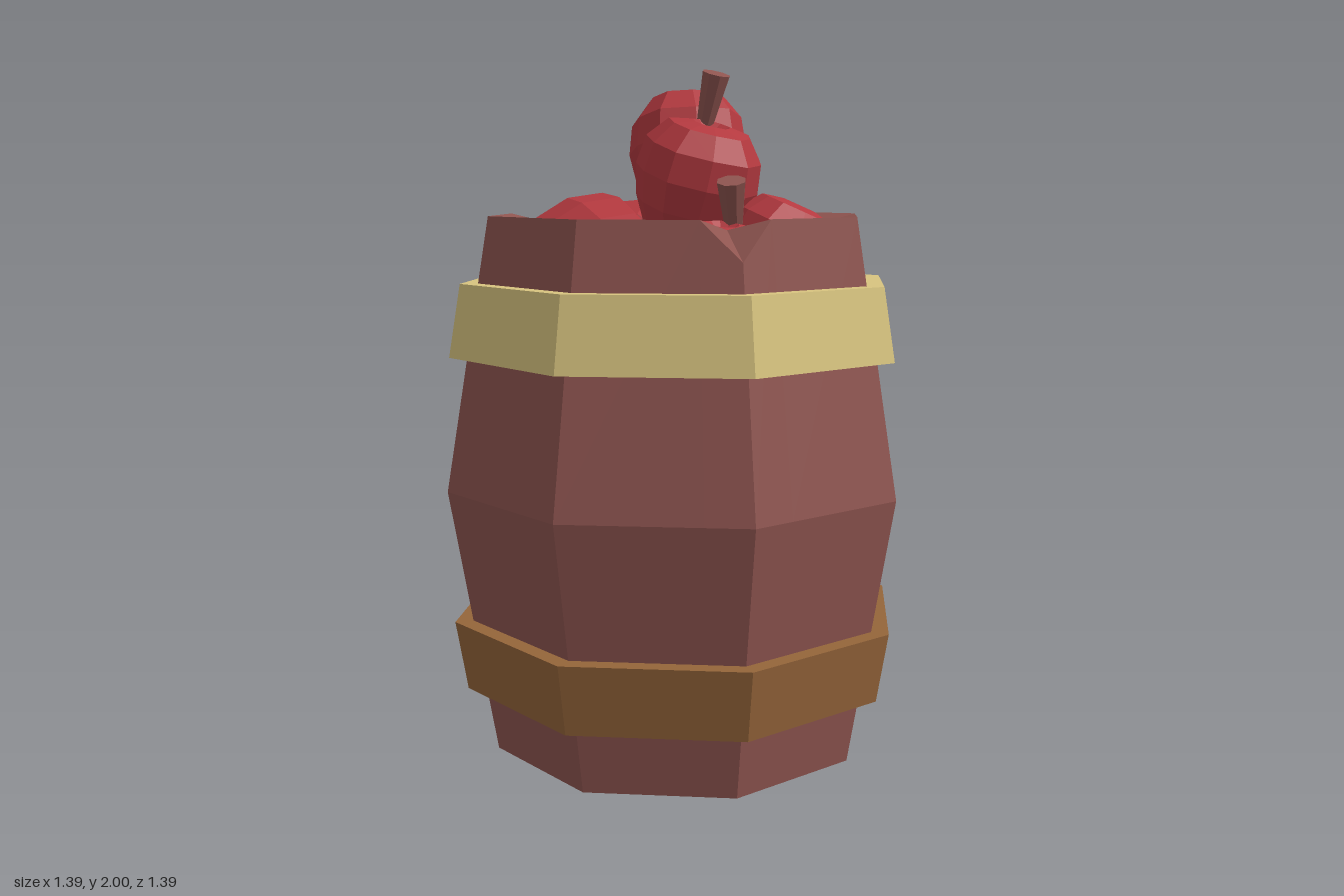
import * as THREE from 'three';

const flat = (name, color) => {
  const m = new THREE.MeshStandardMaterial({ color, flatShading: true });
  m.name = name;
  return m;
};

const v2 = ([x, y]) => new THREE.Vector2(x, y);
const v3 = (p) => new THREE.Vector3(...p);

export function createModel() {
  const wood = flat('reddish wood', 0x8f5550);
  const gold = flat('pale gold', 0xd8c47f);
  const bronze = flat('bronze', 0x95653a);
  const red = flat('apple red', 0xb3393f);

  const model = new THREE.Group();
  model.name = 'appleBarrel';
  const add = (name, geometry, material, parent = model) => {
    const mesh = new THREE.Mesh(geometry, material);
    mesh.name = name;
    parent.add(mesh);
    return mesh;
  };

  // Eight-sided barrel with two chipped rim corners
  const chips = { 1: 1.47, 6: 1.46 }; // corner index -> lowered height
  const stops = []; // corner, neighbour, share of the way to the neighbour
  for (let k = 0; k < 8; k++) {
    if (k in chips) stops.push([k, k - 1, 0.25]);
    stops.push([k, k, 0]);
    if (k in chips) stops.push([k, k + 1, 0.25]);
  }
  const corner = (k, r, y) =>
    new THREE.Vector3(r * Math.sin(k * Math.PI / 4), y, r * Math.cos(k * Math.PI / 4));
  const rings = [
    { r: 0, y: 0 }, { r: 0.56, y: 0 }, { r: 0.695, y: 0.79 }, { r: 0.563, y: 1.58, rim: true },
    { r: 0.45, y: 1.55, inner: true }, { r: 0.45, y: 1.2, inner: true }, { r: 0, y: 1.2, inner: true },
  ];
  const positions = [];
  const index = [];
  rings.forEach(({ r, y, rim, inner }) => {
    for (const [k, next, t] of stops) {
      let p = corner(k, r, y).lerp(corner(next, r, y), inner ? 0 : t);
      if (rim && t === 0 && k in chips) {
        p = corner(k, r + (1.58 - chips[k]) * 0.168, chips[k]);
      }
      positions.push(p.x, p.y, p.z);
    }
  });
  const n = stops.length;
  for (let i = 0; i < rings.length - 1; i++) {
    for (let j = 0; j < n; j++) {
      const a = i * n + j, b = i * n + (j + 1) % n;
      // Turn the quad diagonal so each chip fans out from its inner corner
      if (stops[j][2] > 0 && stops[j][1] < stops[j][0]) index.push(a, b, a + n, b, b + n, a + n);
      else index.push(a, b, b + n, a, b + n, a + n);
    }
  }
  const barrel = new THREE.BufferGeometry();
  barrel.setAttribute('position', new THREE.Float32BufferAttribute(positions, 3));
  barrel.setIndex(index);
  barrel.computeVertexNormals();
  add('barrel', barrel, wood);

  // Hoops
  const hoop = (name, y0, y1, r0, r1, material) => {
    const section = [[r0 - 0.054, y0], [r0, y0], [r1, y1], [r1 - 0.054, y1], [r0 - 0.054, y0]];
    add(name, new THREE.LatheGeometry(section.map(v2), 8), material);
  };
  hoop('upperHoop', 1.18, 1.39, 0.682, 0.647, gold);
  hoop('lowerHoop', 0.195, 0.4, 0.647, 0.682, bronze);

  // Apples: a dimpled profile with soft lobes, tilted along an axis
  const profile = [[0, -0.82], [0.3, -0.97], [0.64, -0.75], [0.89, -0.3], [1, 0.15],
    [0.94, 0.58], [0.66, 0.9], [0.3, 0.97], [0, 0.75]].map(v2);
  const up = new THREE.Vector3(0, 1, 0);
  const apple = (name, center, radius, height, axis) => {
    const g = new THREE.LatheGeometry(profile, 10);
    const p = g.attributes.position;
    for (let i = 0; i < p.count; i++) {
      const lobe = 1 + 0.035 * Math.cos(5 * Math.atan2(p.getX(i), p.getZ(i)));
      p.setXYZ(i, p.getX(i) * lobe * radius, p.getY(i) * height, p.getZ(i) * lobe * radius);
    }
    const mesh = add(name, g, red);
    mesh.position.set(...center);
    mesh.quaternion.setFromUnitVectors(up, v3(axis).normalize());
  };
  apple('topApple', [-0.05, 1.74, -0.17], 0.18, 0.205, [-0.15, 1, -0.2]);
  apple('stemmedApple', [0.055, 1.655, -0.01], 0.185, 0.2, [0.3, 1, 0.05]);
  apple('backLeftApple', [-0.22, 1.41, -0.19], 0.195, 0.2, [-0.5, 0.4, 0.3]);
  apple('frontLeftApple', [-0.14, 1.44, 0.2], 0.19, 0.26, [-0.8, 0.2, -0.55]);
  apple('rightApple', [0.29, 1.45, -0.05], 0.165, 0.18, [0.4, 1, -0.2]);
  apple('frontRightApple', [0.22, 1.39, 0.18], 0.16, 0.18, [0.15, 1, 0.1]);

  // Stems: thin at the fruit, wide at the tip
  const stem = (name, from, to) => {
    const a = v3(from), b = v3(to);
    const d = b.clone().sub(a);
    const mesh = add(name, new THREE.CylinderGeometry(0.042, 0.02, d.length(), 8), wood);
    mesh.position.copy(a).add(b).multiplyScalar(0.5);
    mesh.quaternion.setFromUnitVectors(up, d.normalize());
  };
  stem('topStem', [0.05, 1.79, -0.05], [0.11, 1.985, -0.03]);
  stem('frontStem', [0.24, 1.5, 0.11], [0.26, 1.68, 0.175]);
  stem('leftStem', [-0.3, 1.47, -0.04], [-0.4, 1.49, 0.04]);

  return model;
}
